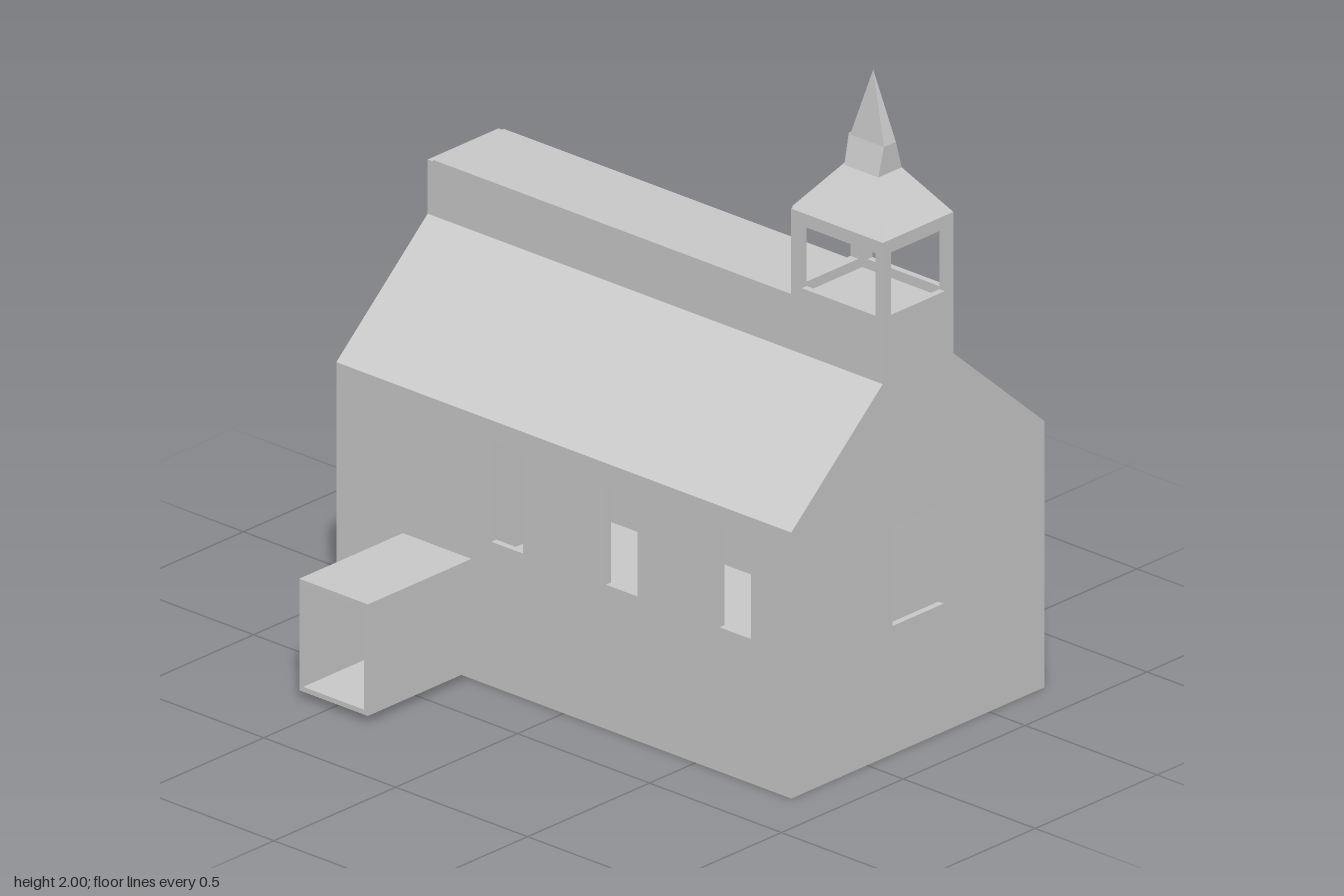
import * as THREE from 'three';

const T = 0.02; // wall thickness
const X0 = -0.31, X1 = 0.73, Z = 0.862; // nave footprint
const TX0 = 0.065, TX1 = 0.355, TB = 0.515; // tower sides and back
const EAVE = 0.81, SHOULDER = 1.14, RIDGE = 1.31, BELFRY = 1.57;

const rect = (x0, y0, x1, y1) => [[x0, y0], [x1, y0], [x1, y1], [x0, y1]];
const vectors = (pts) => pts.map(([x, y]) => new THREE.Vector2(x, y));

export function createModel() {
  const group = new THREE.Group();
  const material = new THREE.MeshStandardMaterial({ color: 0xcccccc });
  const thin = new THREE.MeshStandardMaterial({ color: 0xcccccc, side: THREE.DoubleSide, flatShading: true });

  const add = (name, geometry, mat = material) => {
    const mesh = new THREE.Mesh(geometry, mat);
    mesh.name = name;
    group.add(mesh);
    return mesh;
  };

  const slab = (outline, holes, depth) => {
    const shape = new THREE.Shape(vectors(outline));
    holes.forEach((h) => shape.holes.push(new THREE.Path(vectors(h))));
    return new THREE.ExtrudeGeometry(shape, { depth, bevelEnabled: false });
  };

  // Wall drawn in x and y, running forward from z
  const crossWall = (name, outline, holes, z, depth = T) => {
    add(name, slab(outline, holes, depth)).position.z = z;
  };

  // Wall drawn in z and y, from x inwards to x + T
  const sideWall = (name, outline, holes, x) => {
    add(name, slab(outline, holes, T).rotateY(-Math.PI / 2)).position.x = x + T;
  };

  // Stack of rectangular rings [y, x0, x1, z0, z1] joined into a skin
  const loft = (name, rings, capped = false) => {
    const pos = [], index = [];
    rings.forEach(([y, x0, x1, z0, z1]) => pos.push(x0, y, z1, x1, y, z1, x1, y, z0, x0, y, z0));
    for (let r = 0; r < rings.length - 1; r++) {
      for (let i = 0; i < 4; i++) {
        const a = r * 4 + i, b = r * 4 + (i + 1) % 4;
        index.push(a, b, b + 4, a, b + 4, a + 4);
      }
    }
    if (capped) {
      const n = (rings.length - 1) * 4;
      index.push(n, n + 1, n + 2, n, n + 2, n + 3);
    }
    let g = new THREE.BufferGeometry();
    g.setAttribute('position', new THREE.Float32BufferAttribute(pos, 3));
    g.setIndex(index);
    g = g.toNonIndexed();
    g.computeVertexNormals();
    add(name, g, thin);
  };

  // Floor
  add('floor', new THREE.BoxGeometry(X1 - X0, T, 2 * Z)).position.set((X0 + X1) / 2, T / 2, 0);

  // Gable walls: the front one rises into the tower
  const gable = (top) => [
    [X0, 0], [X1, 0], [X1, EAVE], [TX1, SHOULDER], [TX1, top], [TX0, top], [TX0, SHOULDER], [X0, EAVE],
  ];
  crossWall('frontWall', gable(BELFRY),
    [rect(0.105, 0.39, 0.315, 0.695), rect(0.1, 1.34, 0.32, 1.53)], Z - T);
  crossWall('backWall', gable(RIDGE - 0.005), [
    rect(0.105, 0.45, 0.315, 0.93),
    rect(0.35, 0.45, 0.49, 0.8),
    rect(-0.07, 0.45, 0.07, 0.8),
  ], -Z);

  // Long walls with three windows each; the annex doorway is on one side
  const windows = [0.65, 0.22, -0.215].map((z) => rect(z - 0.06, 0.44, z + 0.06, 0.75));
  const doorway = rect(-0.595, 0.04, -0.365, 0.35);
  const longWall = rect(-Z + T, 0, Z - T, EAVE);
  sideWall('leftWall', longWall, windows, X1 - T);
  sideWall('rightWall', longWall, [...windows, doorway], X0);

  // Roof with its raised ridge, as one bent sheet
  crossWall('roof', [
    [X0, EAVE], [X0 + 0.03, EAVE],
    [TX0 + T, SHOULDER - 0.01], [TX0 + T, RIDGE - T], [TX1 - T, RIDGE - T], [TX1 - T, SHOULDER - 0.01],
    [X1 - 0.03, EAVE], [X1, EAVE],
    [TX1, SHOULDER], [TX1, RIDGE], [TX0, RIDGE], [TX0, SHOULDER],
  ], [], -Z + T, 2 * (Z - T));

  // Belfry sides and back
  for (const x of [TX0, TX1 - T]) {
    sideWall('belfrySide', rect(TB, RIDGE, Z - T, BELFRY), [rect(0.555, 1.34, 0.835, 1.53)], x);
  }
  const backOpening = [rect(0.1, 1.34, 0.32, 1.53)];
  crossWall('belfryBack', rect(TX0 + T, RIDGE, TX1 - T, BELFRY), backOpening, TB);
  crossWall('belfryBackPanel', rect(0.08, RIDGE, 0.34, BELFRY), backOpening, TB - 0.01, 0.01);

  // Belfry roof and spire
  loft('belfryRoof', [
    [BELFRY, TX0, TX1, TB, Z],
    [1.705, 0.163, 0.259, 0.627, 0.755],
  ]);
  loft('spire', [
    [1.705, 0.163, 0.259, 0.627, 0.755],
    [1.79, 0.186, 0.235, 0.627, 0.755],
    [2, 0.21, 0.21, 0.692, 0.692],
  ]);
  // Raised strip up the back of the belfry roof
  loft('roofBackPanel', [
    [BELFRY, 0.08, 0.34, TB - 0.01, TB + 0.01],
    [1.705, 0.175, 0.247, 0.616, 0.637],
    [1.79, 0.192, 0.229, 0.616, 0.637],
  ], true);

  // Side annex: a square tube open at its outer end
  const annex = slab(rect(-0.61, 0.025, -0.35, 0.365), [doorway], 0.425).rotateY(-Math.PI / 2);
  add('annex', annex).position.x = X0;

  return group;
}
